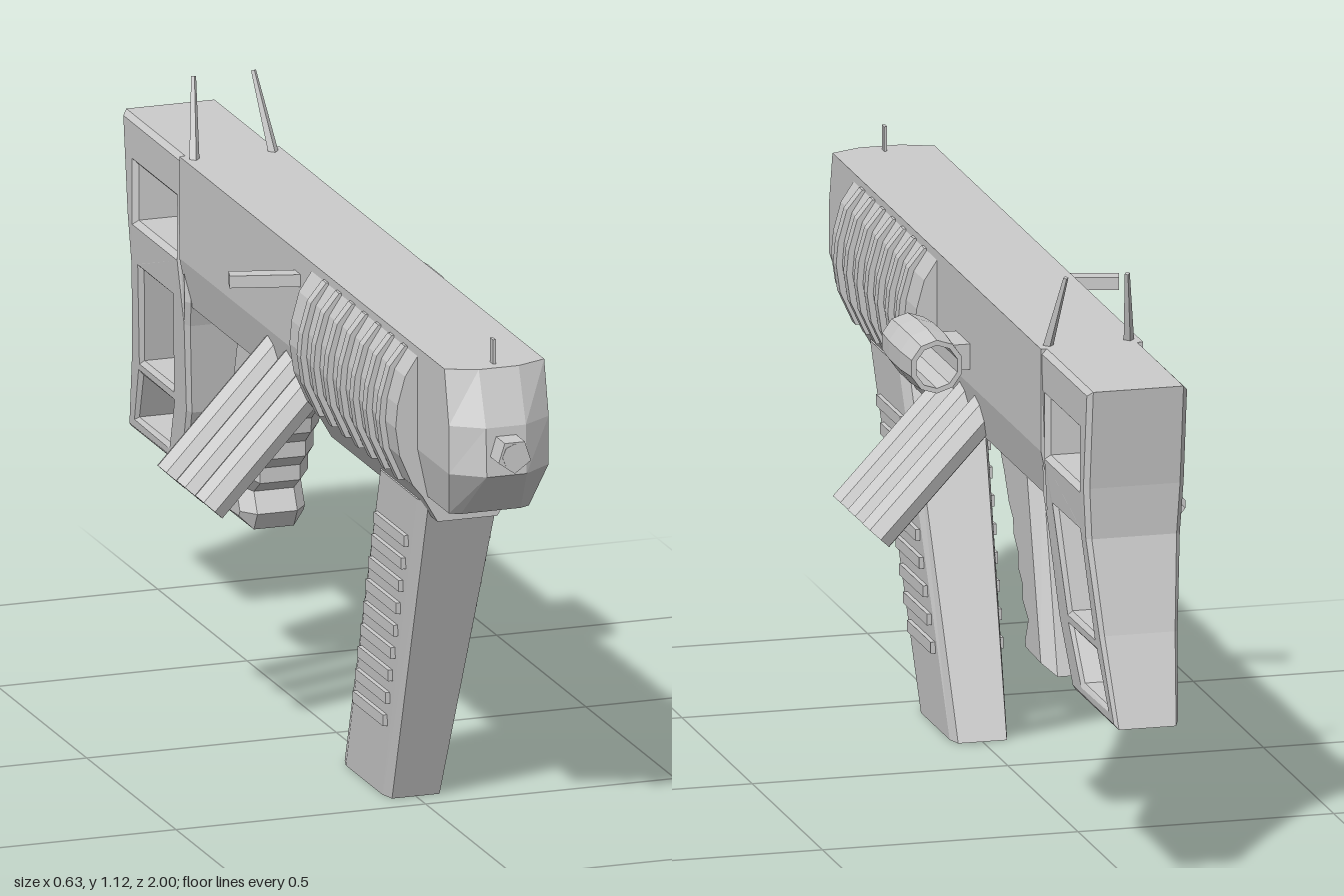
import * as THREE from 'three';

const mat = new THREE.MeshStandardMaterial({ color: 0xcccccc, flatShading: true, side: THREE.DoubleSide });

// Skins a list of rings; each ring is a half outline [x, y, z] mirrored in x.
function loft(halves) {
  const rings = halves.map(h => [...h, ...h.slice().reverse().map(([x, y, z]) => [-x, y, z])]);
  const n = rings[0].length;
  const quads = [];
  for (let r = 0; r < rings.length - 1; r++)
    for (let i = 0; i < n; i++) {
      const j = (i + 1) % n;
      quads.push([rings[r][i], rings[r][j], rings[r + 1][j], rings[r + 1][i]]);
    }
  // end caps run across from right half to left half
  const last = rings[rings.length - 1];
  for (let i = 0; i < n / 2 - 1; i++) {
    const k = n - 1 - i;
    quads.push([rings[0][k], rings[0][k - 1], rings[0][i + 1], rings[0][i]]);
    quads.push([last[i], last[i + 1], last[k - 1], last[k]]);
  }
  let tris = quads.flatMap(([a, b, c, d]) => [[a, b, c], [a, c, d]]);
  // turn the faces outwards
  let volume = 0;
  for (const t of tris) {
    const [a, b, c] = t.map(p => new THREE.Vector3(...p));
    volume += a.dot(b.cross(c));
  }
  if (volume < 0) tris = tris.map(([a, b, c]) => [a, c, b]);
  const g = new THREE.BufferGeometry();
  g.setAttribute('position', new THREE.Float32BufferAttribute(tris.flat(2), 3));
  g.computeVertexNormals();
  return g;
}

// Straight loft of an [x, y] half outline between two z values.
const prism = (half, z0, z1) => loft([z0, z1].map(z => half.map(([x, y]) => [x, y, z])));

// Extrudes a side outline given as [z, y] across x, with holes and a chamfer.
function sideExtrude(outline, holes, halfWidth, bevel) {
  const toV = pts => pts.map(p => new THREE.Vector2(...p));
  const shape = new THREE.Shape(toV(outline));
  holes.forEach(h => shape.holes.push(new THREE.Path(toV(h))));
  const depth = 2 * (halfWidth - bevel);
  const g = new THREE.ExtrudeGeometry(shape, {
    depth, bevelSize: bevel, bevelThickness: bevel, bevelOffset: -bevel, bevelSegments: 1,
  });
  return g.translate(0, 0, -depth / 2).rotateY(-Math.PI / 2);
}

// Bar with a given number of sides between two points.
function bar(a, b, radius, sides, endRadius = radius) {
  const p = new THREE.Vector3(...a), q = new THREE.Vector3(...b);
  const dir = q.clone().sub(p);
  const g = new THREE.CylinderGeometry(endRadius, radius, dir.length(), sides);
  g.applyQuaternion(new THREE.Quaternion().setFromUnitVectors(new THREE.Vector3(0, 1, 0), dir.normalize()));
  return g.translate(...p.add(q).multiplyScalar(0.5).toArray());
}

export function createModel() {
  const model = new THREE.Group();
  const add = (name, geometry) => {
    const m = new THREE.Mesh(geometry, mat);
    m.name = name;
    model.add(m);
    return m;
  };
  const box = (name, size, pos) => {
    const m = add(name, new THREE.BoxGeometry(...size));
    m.position.set(...pos);
    return m;
  };

  // Receiver
  add('receiver', prism([[0.1, 0.975], [0.1, 0.87], [0.1, 0.775], [0.08, 0.68]], -0.6, 0.16));

  // Nose with faceted front
  add('nose', loft([
    [[0.1, 0.975, 0.72], [0.1, 0.87, 0.72], [0.1, 0.775, 0.72], [0.08, 0.68, 0.72]],
    [[0.1, 0.975, 0.885], [0.1, 0.87, 0.91], [0.1, 0.775, 0.91], [0.08, 0.68, 0.855]],
    [[0.04, 0.975, 0.91], [0.04, 0.87, 0.95], [0.04, 0.775, 0.955], [0.06, 0.68, 0.865]],
  ]));
  add('muzzle', bar([0, 0.825, 0.94], [0, 0.825, 1], 0.034, 5));
  add('muzzleTip', bar([0, 0.825, 0.94], [0, 0.825, 1.001], 0.025, 8));

  // Handguard with bulging sides and ribs
  add('handguard', prism([
    [0.1, 0.975], [0.1, 0.958], [0.125, 0.92], [0.14, 0.865], [0.144, 0.82],
    [0.136, 0.765], [0.11, 0.705], [0.09, 0.68], [0.06, 0.628],
  ], 0.14, 0.735));
  for (let i = 0; i < 7; i++) {
    const z = 0.225 + i * 0.0735;
    add('handguardRib', prism([
      [0.105, 0.962], [0.135, 0.925], [0.152, 0.865], [0.156, 0.82], [0.148, 0.765], [0.118, 0.7],
    ], z - 0.011, z + 0.011));
  }

  // Slanted foregrip with chamfered corners and side ribs
  const gripRing = (y, back, hx) => [
    [hx * 0.85, y, back + 0.265], [hx, y, back + 0.235], [hx, y, back + 0.03], [hx * 0.85, y, back],
  ];
  add('foregrip', loft([gripRing(0, 0.18, 0.056), gripRing(0.66, 0.447, 0.082)]));
  for (let i = 0; i < 9; i++) {
    const y = 0.16 + i * 0.05;
    const hx = 0.056 + 0.0394 * y;
    box('foregripRib', [2 * hx + 0.018, 0.022, 0.17], [0, y, 0.31 + 0.4045 * y]);
  }

  // Rear grip with finger notches
  add('rearGrip', sideExtrude([
    [-0.14, 0.7], [-0.19, 0.62], [-0.225, 0.565], [-0.25, 0.545], [-0.255, 0.515], [-0.285, 0.49],
    [-0.285, 0.46], [-0.315, 0.435], [-0.315, 0.405], [-0.35, 0.38], [-0.33, 0.34], [-0.35, 0.305],
    [-0.5, 0.305], [-0.39, 0.7],
  ], [], 0.065, 0.025));

  // Trigger and guard
  const guard = add('triggerGuard', new THREE.TorusGeometry(0.062, 0.009, 6, 12, Math.PI));
  guard.rotation.set(Math.PI, Math.PI / 2, 0);
  guard.position.set(0, 0.67, -0.108);
  const trigger = box('trigger', [0.018, 0.07, 0.018], [0, 0.66, -0.115]);
  trigger.rotation.x = 0.25;

  // Skeleton stock, narrowing downwards
  const stock = sideExtrude([
    [-0.58, 0.975], [-0.58, 0.69], [-0.595, 0.64], [-0.625, 0.46], [-0.685, 0.33],
    [-0.995, 0.33], [-0.94, 0.5], [-0.9, 0.68], [-0.905, 0.78], [-0.93, 0.975],
  ], [
    [[-0.628, 0.885], [-0.86, 0.885], [-0.86, 0.775], [-0.628, 0.775]],
    [[-0.665, 0.68], [-0.845, 0.68], [-0.883, 0.49], [-0.708, 0.49]],
    [[-0.712, 0.458], [-0.895, 0.458], [-0.94, 0.362], [-0.762, 0.362]],
  ], 0.1, 0.01);
  const pos = stock.attributes.position;
  for (let i = 0; i < pos.count; i++) {
    const t = THREE.MathUtils.clamp((pos.getY(i) - 0.33) / 0.42, 0, 1);
    pos.setX(i, pos.getX(i) * (0.62 + 0.36 * t));
  }
  stock.computeVertexNormals();
  add('stock', stock);

  // Splayed bars and rear sight posts on both sides
  for (const s of [-1, 1]) {
    for (const z of [0.095, -0.01, -0.115])
      add('sideBar', bar([s * 0.05, 0.757, z], [s * 0.29, 0.5, z], 0.036, 8));
    add('rearSight', bar([s * 0.082, 0.95, -0.565], [s * 0.06, 1.12, -0.632], 0.011, 4, 0.005));
  }
  box('frontSight', [0.006, 0.06, 0.016], [0, 0.993, 0.878]);

  // Side scope: an open tube swelling in the middle
  const scope = add('scope', new THREE.LatheGeometry([
    [0.042, -0.105], [0.052, -0.105], [0.057, -0.04], [0.057, 0.04], [0.052, 0.105], [0.042, 0.105], [0.042, -0.105],
  ].map(p => new THREE.Vector2(...p)), 10));
  scope.rotation.x = Math.PI / 2;
  scope.position.set(0.18, 0.83, -0.045);
  box('scopeMount', [0.05, 0.05, 0.1], [0.112, 0.83, -0.045]);

  // Charging handle
  const handle = box('chargingHandle', [0.16, 0.024, 0.032], [-0.148, 0.922, 0.05]);
  handle.rotation.y = -0.27;

  return model;
}
